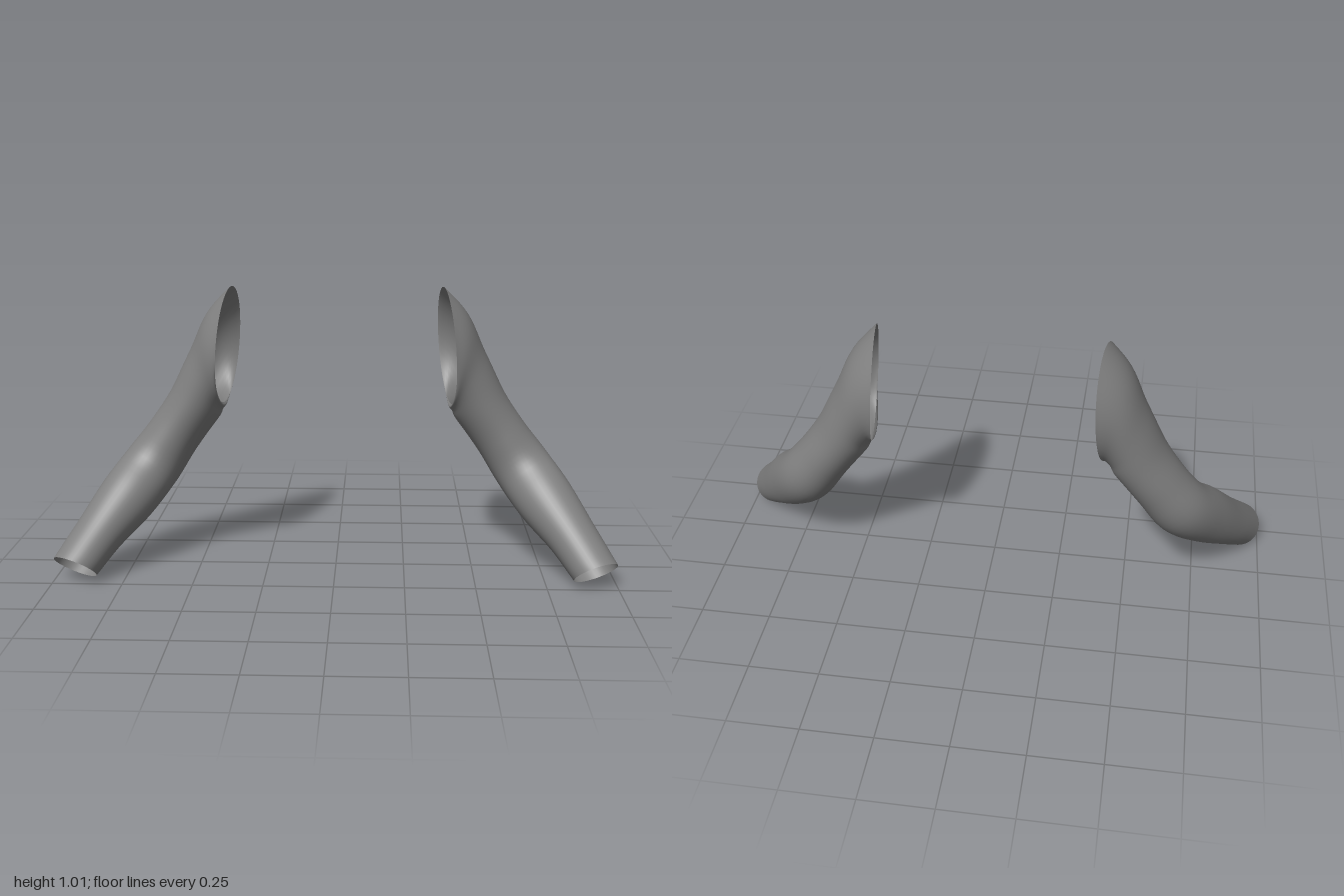
import * as THREE from 'three';

// Sleeve cross-sections, shoulder to cuff: centre, facing direction, [radius outward, radius sideways]
const SECTIONS = [
  [[0.402, 0.805, -0.125], [1, 0.07, -0.14], [0.215, 0.178]],
  [[0.443, 0.753, -0.118], [0.98, -0.18, -0.06], [0.175, 0.158]],
  [[0.48, 0.68, -0.12], [0.9, -0.44, 0], [0.128, 0.138]],
  [[0.525, 0.59, -0.12], [0.65, -0.76, 0], [0.103, 0.125]],
  [[0.605, 0.473, -0.112], [0.6, -0.8, 0.05], [0.099, 0.112]],
  [[0.685, 0.36, -0.085], [0.58, -0.75, 0.3], [0.107, 0.107]],
  [[0.767, 0.257, 0.01], [0.52, -0.6, 0.6], [0.106, 0.105]],
  [[0.852, 0.153, 0.115], [0.46, -0.65, 0.6], [0.088, 0.096]],
  [[0.922, 0.058, 0.22], [0.32, -0.78, 0.54], [0.081, 0.089]],
];
const RINGS = 40, SIDES = 40;

const track = (k) => new THREE.CatmullRomCurve3(
  SECTIONS.map((s) => new THREE.Vector3(s[k][0], s[k][1], s[k][2] ?? 0)), false, 'catmullrom', 0.5);

// Open tube lofted through the sections; side = 1 for left, -1 for the mirrored right
function sleeveGeometry(side) {
  const centres = track(0), facings = track(1), radii = track(2);
  const outward = new THREE.Vector3(0.5, 0.87, -0.12);
  const positions = [], indices = [];
  for (let i = 0; i <= RINGS; i++) {
    const t = i / RINGS;
    const c = centres.getPoint(t), n = facings.getPoint(t).normalize(), r = radii.getPoint(t);
    const u = outward.clone().projectOnPlane(n).normalize();
    const v = n.clone().cross(u);
    for (let j = 0; j < SIDES; j++) {
      const a = (j / SIDES) * Math.PI * 2;
      const p = c.clone().addScaledVector(u, r.x * Math.cos(a)).addScaledVector(v, r.y * Math.sin(a));
      positions.push(side * p.x, p.y, p.z);
      if (i === RINGS) continue;
      const k = (j + 1) % SIDES;
      const p0 = i * SIDES + j, p1 = i * SIDES + k, q0 = p0 + SIDES, q1 = p1 + SIDES;
      if (side > 0) indices.push(p0, p1, q0, p1, q1, q0);
      else indices.push(p0, q0, p1, p1, q0, q1);
    }
  }
  const geometry = new THREE.BufferGeometry();
  geometry.setAttribute('position', new THREE.Float32BufferAttribute(positions, 3));
  geometry.setIndex(indices);
  geometry.computeVertexNormals();
  return geometry;
}

export function createModel() {
  const group = new THREE.Group();
  group.name = 'sleeves';
  const cloth = new THREE.MeshStandardMaterial({ color: 0x808080, side: THREE.DoubleSide });
  for (const [name, side] of [['leftSleeve', 1], ['rightSleeve', -1]]) {
    const sleeve = new THREE.Mesh(sleeveGeometry(side), cloth);
    sleeve.name = name;
    group.add(sleeve);
  }
  return group;
}
